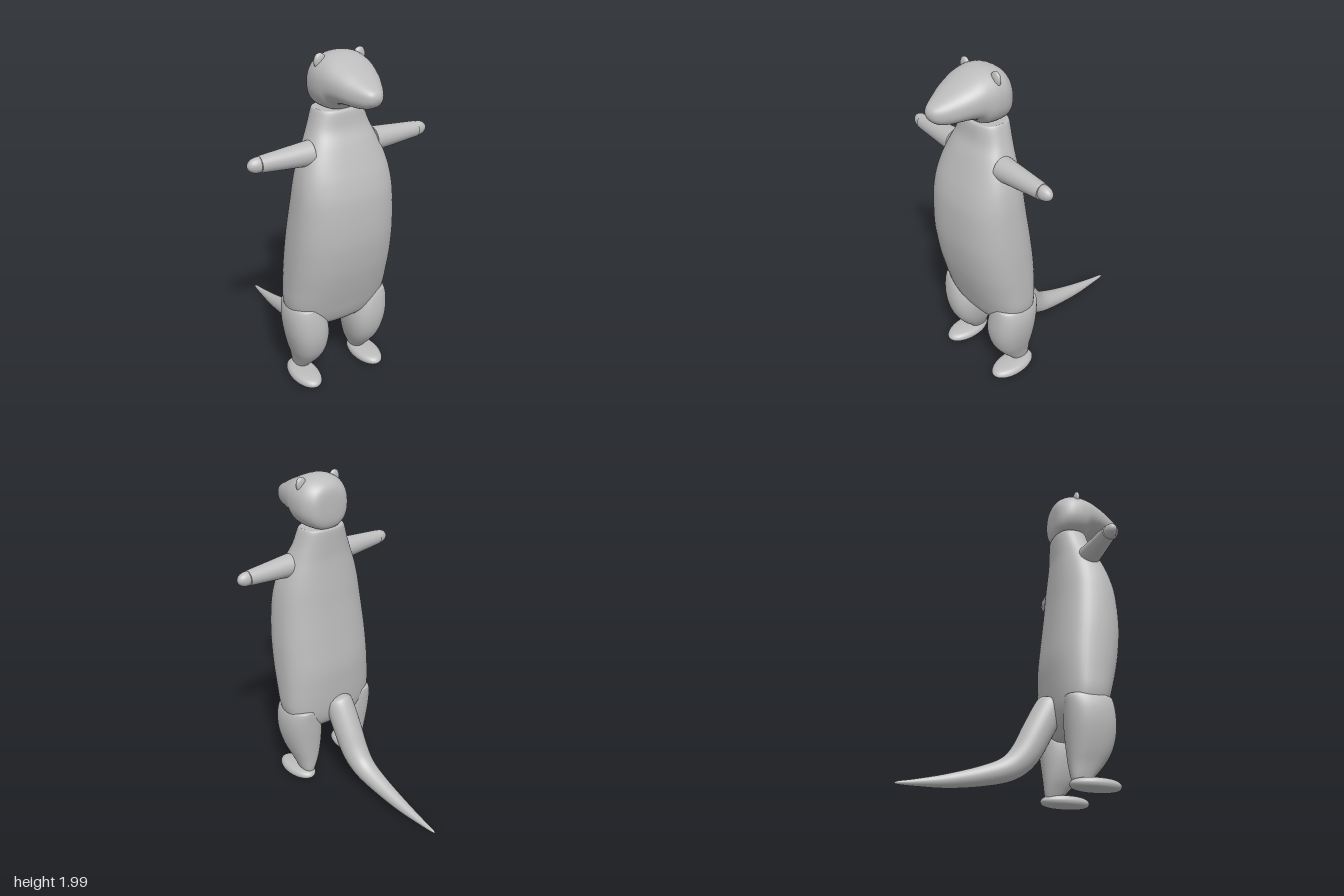
import * as THREE from 'three';

const fur = new THREE.MeshStandardMaterial({ color: 0xbcbcbc });
fur.name = 'greyFur';

// Smooth spline through rows of numbers
function rowAt(rows, t) {
  const f = t * (rows.length - 1);
  const i = Math.min(Math.floor(f), rows.length - 2);
  const u = f - i;
  const at = k => rows[Math.max(0, Math.min(rows.length - 1, k))];
  return rows[0].map((_, k) => {
    const a = at(i - 1)[k], b = at(i)[k], c = at(i + 1)[k], d = at(i + 2)[k];
    const m = (c - a) / 2, n = (d - b) / 2;
    return b + u * m + u * u * (3 * (c - b) - 2 * m - n) + u * u * u * (2 * (b - c) + m + n);
  });
}

// Skin over superellipse rings; place(row, c, s) gives each ring point
function loft(rows, place, power = 2, sides = 40, perSpan = 5) {
  const pos = [], index = [];
  const rings = (rows.length - 1) * perSpan;
  const round = v => Math.sign(v) * Math.abs(v) ** (2 / power);
  const addRing = row => {
    for (let j = 0; j < sides; j++) {
      const a = j / sides * Math.PI * 2;
      pos.push(...place(row, round(Math.cos(a)), round(Math.sin(a))));
    }
  };
  for (let i = 0; i <= rings; i++) addRing(rowAt(rows, i / rings));
  for (let i = 0; i < rings; i++) {
    for (let j = 0; j < sides; j++) {
      const k = (j + 1) % sides;
      const a = i * sides + j, b = i * sides + k, c = a + sides, d = b + sides;
      index.push(a, b, c, b, d, c);
    }
  }
  // Flat end caps with their own vertices
  for (const [row, first] of [[rows[0], true], [rows[rows.length - 1], false]]) {
    const start = pos.length / 3;
    addRing(row);
    for (let j = 1; j < sides - 1; j++) {
      index.push(start, ...(first ? [start + j + 1, start + j] : [start + j, start + j + 1]));
    }
  }
  // Make the faces point outwards
  const p = k => new THREE.Vector3(pos[k * 3], pos[k * 3 + 1], pos[k * 3 + 2]);
  let volume = 0;
  for (let i = 0; i < index.length; i += 3) {
    volume += p(index[i]).dot(p(index[i + 1]).cross(p(index[i + 2])));
  }
  if (volume < 0) index.reverse();
  const g = new THREE.BufferGeometry();
  g.setAttribute('position', new THREE.Float32BufferAttribute(pos, 3));
  g.setIndex(index);
  g.computeVertexNormals();
  return g;
}

export function createModel() {
  const model = new THREE.Group();
  model.name = 'standingAnimal';
  const add = (name, geometry) => {
    const mesh = new THREE.Mesh(geometry, fur);
    mesh.name = name;
    model.add(mesh);
    return mesh;
  };
  const ball = (name, x, y, z, rx, ry, rz) => {
    const mesh = add(name, new THREE.SphereGeometry(1, 32, 20));
    mesh.position.set(x, y, z);
    mesh.scale.set(rx, ry, rz);
    return mesh;
  };

  // Torso: y, half width, widest z, front z, back z
  const torso = [
    [0.355, 0.04, 0.32, 0.35, 0.29], [0.37, 0.16, 0.32, 0.40, 0.25], [0.42, 0.25, 0.32, 0.455, 0.205],
    [0.48, 0.30, 0.32, 0.485, 0.185], [0.56, 0.322, 0.33, 0.51, 0.175], [0.68, 0.324, 0.34, 0.545, 0.168],
    [0.82, 0.322, 0.36, 0.577, 0.165], [1.0, 0.315, 0.38, 0.598, 0.182], [1.2, 0.297, 0.40, 0.59, 0.203],
    [1.32, 0.28, 0.40, 0.565, 0.213], [1.42, 0.253, 0.39, 0.53, 0.222], [1.52, 0.212, 0.37, 0.49, 0.23],
    [1.6, 0.177, 0.35, 0.453, 0.23], [1.685, 0.146, 0.335, 0.437, 0.23], [1.70, 0.135, 0.335, 0.425, 0.24],
  ];
  add('torso', loft(torso, ([y, w, zc, zf, zb], c, s) =>
    [w * c, y, zc + s * (s > 0 ? zf - zc : zc - zb)], 2.5, 56));

  // Head: z, half width, lowest y, highest y
  const head = [
    [0.222, 0.03, 1.79, 1.85], [0.228, 0.095, 1.73, 1.92], [0.25, 0.135, 1.695, 1.96],
    [0.30, 0.165, 1.688, 1.99], [0.36, 0.172, 1.69, 2.0], [0.41, 0.168, 1.70, 1.993],
    [0.45, 0.159, 1.735, 1.979], [0.50, 0.144, 1.75, 1.957], [0.55, 0.125, 1.755, 1.935],
    [0.60, 0.10, 1.757, 1.91], [0.65, 0.071, 1.768, 1.885], [0.68, 0.046, 1.788, 1.867],
    [0.693, 0.026, 1.808, 1.85], [0.698, 0.005, 1.826, 1.833],
  ];
  add('head', loft(head, ([z, w, lo, hi], c, s) =>
    [w * c, (lo + hi) / 2 + s * (hi - lo) / 2, z], 2.3, 48));

  // Tail: z, y, radius, downward slope in degrees
  const tail = [
    [0.215, 0.585, 0.02, 62], [0.205, 0.565, 0.065, 62], [0.185, 0.525, 0.088, 62], [0.105, 0.37, 0.09, 62],
    [0.03, 0.235, 0.084, 54], [-0.06, 0.15, 0.072, 36], [-0.2, 0.098, 0.058, 20], [-0.4, 0.052, 0.04, 12],
    [-0.58, 0.028, 0.02, 6], [-0.67, 0.02, 0.01, 4], [-0.695, 0.017, 0.002, 4],
  ];
  add('tail', loft(tail, ([z, y, r, slope], c, s) => {
    const a = slope * Math.PI / 180;
    return [r * c, y + r * s * Math.cos(a), z - r * s * Math.sin(a)];
  }, 2, 32, 6));

  // Leg: y, inner x, outer x, back z, front z
  const leg = [
    [0.055, 0.165, 0.24, 0.235, 0.34], [0.09, 0.147, 0.25, 0.228, 0.368], [0.15, 0.117, 0.268, 0.222, 0.42],
    [0.22, 0.094, 0.293, 0.216, 0.465], [0.30, 0.08, 0.315, 0.209, 0.49], [0.38, 0.08, 0.329, 0.202, 0.497],
    [0.46, 0.10, 0.331, 0.197, 0.49], [0.52, 0.135, 0.318, 0.195, 0.477], [0.54, 0.16, 0.296, 0.205, 0.462],
    [0.547, 0.20, 0.25, 0.27, 0.39],
  ];
  for (const [side, label] of [[1, 'left'], [-1, 'right']]) {
    add(label + 'Leg', loft(leg, ([y, xi, xo, zb, zf], c, s) =>
      [side * ((xi + xo) / 2 + c * (xo - xi) / 2), y, (zb + zf) / 2 + s * (zf - zb) / 2], 2.4));

    // Foot: flattened pad
    const foot = [[0.006, 0.05], [0.012, 0.8], [0.03, 1], [0.05, 0.98], [0.066, 0.8], [0.074, 0.4], [0.075, 0.05]];
    add(label + 'Foot', loft(foot, ([y, k], c, s) =>
      [side * (0.22 + 0.083 * k * c), y, 0.363 + 0.15 * k * s], 2));

    // Arm and paw
    const arm = add(label + 'Arm', new THREE.CylinderGeometry(0.045, 0.07, 0.3, 32));
    arm.position.set(side * 0.35, 1.48, 0.385);
    arm.rotation.z = -side * Math.PI / 2;
    ball(label + 'Paw', side * 0.51, 1.48, 0.385, 0.06, 0.043, 0.037);

    // Ear
    const ear = ball(label + 'Ear', side * 0.12, 1.954, 0.352, 0.036, 0.047, 0.019);
    ear.rotation.z = -side * 0.2;
  }
  return model;
}
